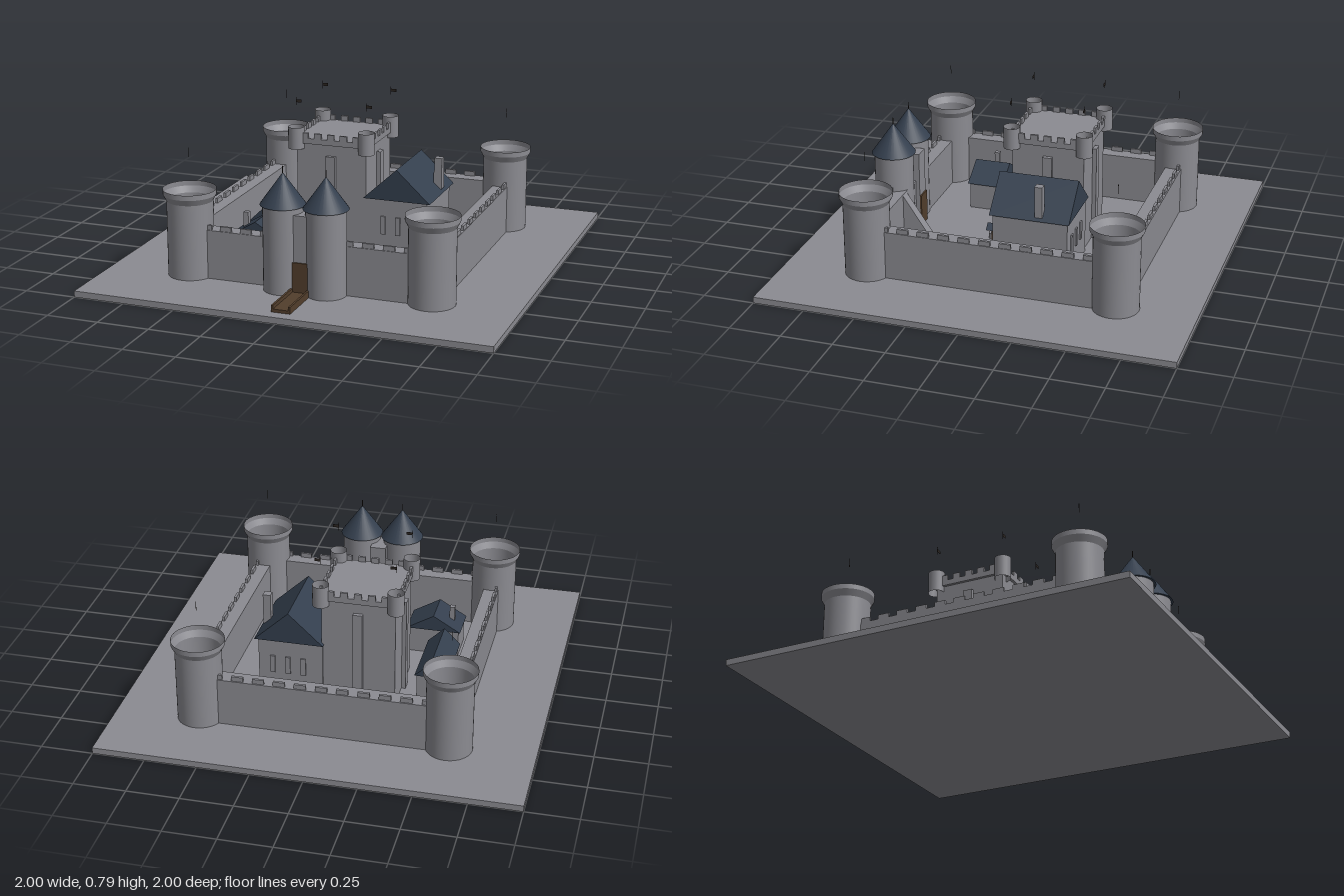
import * as THREE from 'three';

const mat = (name, color, side = THREE.FrontSide) => {
  const m = new THREE.MeshStandardMaterial({ color, side });
  m.name = name;
  return m;
};

export function createModel() {
  const root = new THREE.Group();
  root.name = 'castle';
  const stone = mat('stone', 0x8b8b91, THREE.DoubleSide);
  const slate = mat('slate', 0x343f4e);
  const wood = mat('wood', 0x523e2c);
  const cloth = mat('flagCloth', 0x2b2521, THREE.DoubleSide);

  const group = (name, parent = root) => {
    const g = new THREE.Group();
    g.name = name;
    parent.add(g);
    return g;
  };
  const add = (parent, name, geo, material, x = 0, y = 0, z = 0) => {
    const m = new THREE.Mesh(geo, material);
    m.name = name;
    m.position.set(x, y, z);
    parent.add(m);
    return m;
  };
  // Box given by its lower and upper limits on each axis
  const box = (parent, name, material, x0, x1, y0, y1, z0, z1) =>
    add(parent, name, new THREE.BoxGeometry(x1 - x0, y1 - y0, z1 - z0), material,
      (x0 + x1) / 2, (y0 + y1) / 2, (z0 + z1) / 2);
  // Gable roof with its ridge along z
  const gable = (parent, name, x0, x1, y0, y1, z0, z1) => {
    const s = new THREE.Shape([
      new THREE.Vector2(x0, y0), new THREE.Vector2(x1, y0), new THREE.Vector2((x0 + x1) / 2, y1)]);
    return add(parent, name,
      new THREE.ExtrudeGeometry(s, { depth: z1 - z0, bevelEnabled: false }), slate, 0, 0, z0);
  };

  box(root, 'ground', stone, -1, 1, 0, 0.03, -1, 1);

  // Corner towers: open shells with a flared head and a flagpole tip
  const profile = [[0.11, 0.03], [0.11, 0.395], [0.126, 0.425], [0.126, 0.45]]
    .map(([r, y]) => new THREE.Vector2(r, y));
  const towerParts = [[0.11, 0.03, 0.11, 0.395], [0.11, 0.395, 0.126, 0.425], [0.126, 0.425, 0.126, 0.45]];
  for (const x of [-0.595, 0.595]) for (const z of [-0.62, 0.59]) {
    const t = group('cornerTower');
    for (let i = 0; i < towerParts.length; i++)
      add(t, 'towerShell', new THREE.LatheGeometry(profile.slice(i, i + 2), 40), stone, x, 0, z);
    box(t, 'poleTip', cloth, x - 0.001, x + 0.001, 0.6, 0.645, z - 0.001, z + 0.001);
  }

  // Curtain walls
  const walls = group('curtainWalls');
  const top = 0.267;
  for (const s of [-1, 1])
    box(walls, 'sideWall', stone, s > 0 ? 0.56 : -0.635, s > 0 ? 0.635 : -0.56, 0.03, top, -0.55, 0.545);
  box(walls, 'backWall', stone, -0.55, 0.545, 0.03, top, -0.665, -0.585);
  box(walls, 'frontWall', stone, -0.6, 0.6, 0.03, top, 0.555, 0.63);

  // Merlons along the outer edges
  for (let i = 0; i < 11; i++) {
    const c = -0.5 + i * 0.1;
    for (const s of [-1, 1])
      box(walls, 'sideMerlon', stone, s * 0.625 - 0.006, s * 0.625 + 0.006, top, 0.29, c - 0.028, c + 0.028);
    box(walls, 'backMerlon', stone, c - 0.028, c + 0.028, top, 0.29, -0.659, -0.647);
    if (Math.abs(c) > 0.15)
      box(walls, 'frontMerlon', stone, c - 0.028, c + 0.028, top, 0.29, 0.614, 0.626);
  }

  // Ramp up to the front wall walk
  const rampShape = new THREE.Shape([
    new THREE.Vector2(-0.555, 0.03), new THREE.Vector2(-0.4, 0.03), new THREE.Vector2(-0.555, 0.26)]);
  const ramp = add(walls, 'wallRamp',
    new THREE.ExtrudeGeometry(rampShape, { depth: 0.05, bevelEnabled: false }), stone, 0.165, 0, 0);
  ramp.rotation.y = Math.PI / 2;

  // Gatehouse with twin round towers, doors and a bridge
  const gate = group('gatehouse');
  for (const x of [-0.105, 0.105]) {
    add(gate, 'gateTower', new THREE.CylinderGeometry(0.095, 0.095, 0.41, 32), stone, x, 0.235, 0.64);
    add(gate, 'gateTowerRoof', new THREE.ConeGeometry(0.107, 0.15, 32), slate, x, 0.515, 0.64);
    box(gate, 'roofTip', cloth, x - 0.0015, x + 0.0015, 0.585, 0.62, 0.6385, 0.6415);
  }
  box(gate, 'gateBlock', stone, -0.04, 0.04, 0.03, 0.41, 0.535, 0.7);
  box(gate, 'frontDoor', wood, -0.04, 0.04, 0.03, 0.187, 0.7, 0.707);
  box(gate, 'backDoor', wood, -0.04, 0.04, 0.03, 0.187, 0.527, 0.535);
  box(gate, 'bridgeDeck', wood, -0.045, 0.045, 0.03, 0.045, 0.7, 0.94);
  for (const s of [-1, 1])
    box(gate, 'bridgeRail', wood, s * 0.041 - 0.005, s * 0.041 + 0.005, 0.03, 0.062, 0.7, 0.94);

  // Keep with mid-wall buttresses, battlements and corner turrets
  const keep = group('keep');
  const kx = -0.097, kz = -0.14;
  box(keep, 'keepBody', stone, kx - 0.178, kx + 0.178, 0.03, 0.56, kz - 0.178, kz + 0.178);
  box(keep, 'keepCap', stone, kx - 0.192, kx + 0.192, 0.56, 0.587, kz - 0.192, kz + 0.192);
  box(keep, 'buttressesX', stone, kx - 0.198, kx + 0.198, 0.03, 0.505, kz - 0.023, kz + 0.023);
  box(keep, 'buttressesZ', stone, kx - 0.023, kx + 0.023, 0.03, 0.505, kz - 0.198, kz + 0.198);
  for (const s of [-1, 1]) for (let i = 0; i < 5; i++) {
    const d = (i - 2) * 0.066, e = s * 0.186;
    box(keep, 'keepMerlon', stone, kx + d - 0.018, kx + d + 0.018, 0.587, 0.613, kz + e - 0.006, kz + e + 0.006);
    box(keep, 'keepMerlon', stone, kx + e - 0.006, kx + e + 0.006, 0.587, 0.613, kz + d - 0.018, kz + d + 0.018);
  }
  for (const sx of [-1, 1]) for (const sz of [-1, 1]) {
    const x = kx + sx * 0.18, z = kz + sz * 0.18;
    add(keep, 'turret', new THREE.CylinderGeometry(0.04, 0.04, 0.108, 20, 1, true), stone, x, 0.586, z);
    box(keep, 'flagPole', cloth, x - 0.001, x + 0.001, 0.745, 0.785, z - 0.001, z + 0.001);
    box(keep, 'flag', cloth, x, x + 0.028, 0.76, 0.774, z - 0.001, z + 0.001);
  }

  // Great hall beside the keep
  const hall = group('hall');
  box(hall, 'hallBody', stone, 0.075, 0.39, 0.03, 0.318, -0.328, 0.038);
  gable(hall, 'hallRoof', 0.07, 0.408, 0.315, 0.472, -0.34, 0.05);
  box(hall, 'hallChimney', stone, 0.36, 0.398, 0.33, 0.485, -0.208, -0.17);
  for (let i = 0; i < 3; i++) {
    const x = 0.17 + i * 0.075;
    for (const z of [-0.332, 0.042])
      box(hall, 'hallWindow', stone, x - 0.012, x + 0.012, 0.14, 0.23, z - 0.004, z + 0.004);
  }

  // Courtyard houses
  const stable = group('stable');
  box(stable, 'stableBody', stone, -0.5, -0.36, 0.03, 0.15, -0.215, 0.11);
  gable(stable, 'stableRoof', -0.51, -0.35, 0.148, 0.225, -0.225, 0.12);
  const house = group('house');
  box(house, 'houseBody', stone, -0.485, -0.235, 0.03, 0.165, 0.205, 0.365);
  gable(house, 'houseRoof', -0.495, -0.225, 0.163, 0.243, 0.195, 0.375);
  box(house, 'houseChimney', stone, -0.452, -0.427, 0.17, 0.262, 0.272, 0.298);

  // Well with a small roof on posts
  const well = group('well');
  add(well, 'wellRing', new THREE.CylinderGeometry(0.024, 0.024, 0.03, 16), stone, 0.07, 0.045, 0.14);
  for (const s of [-1, 1])
    box(well, 'wellPost', wood, 0.07 + s * 0.024 - 0.002, 0.07 + s * 0.024 + 0.002, 0.03, 0.082, 0.138, 0.142);
  gable(well, 'wellRoof', 0.038, 0.102, 0.08, 0.108, 0.11, 0.17);

  return root;
}
